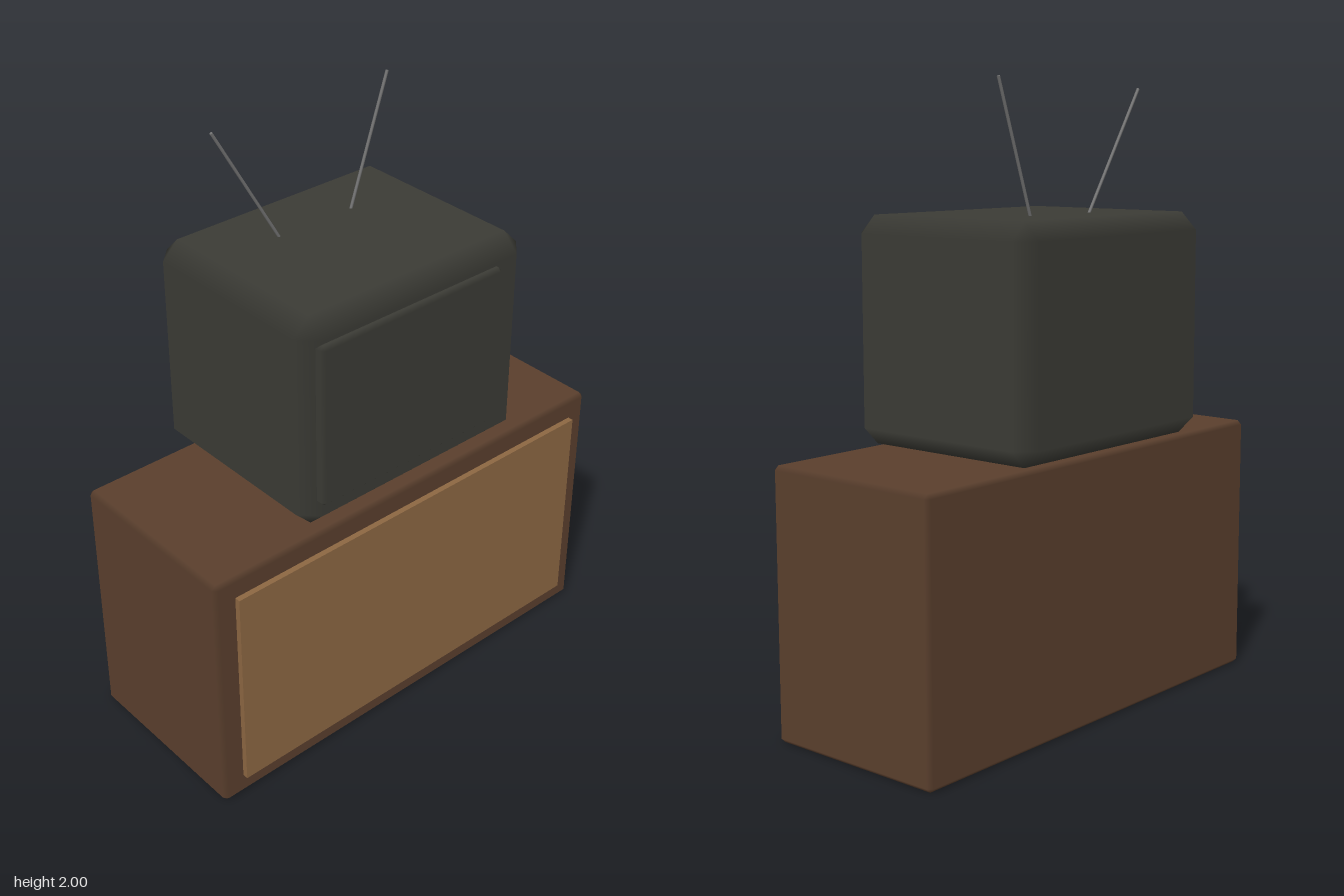
import * as THREE from 'three';
import { ConvexGeometry } from 'three/addons/geometries/ConvexGeometry.js';

const material = (name, color) => new THREE.MeshStandardMaterial({ name, color });

// Box with one flat cut along each edge; normals follow the six main faces so the cuts blend softly.
function chamferedBox(w, h, d, r) {
  const half = [w / 2, h / 2, d / 2];
  const points = [];
  for (let axis = 0; axis < 3; axis++)
    for (const sx of [-1, 1]) for (const sy of [-1, 1]) for (const sz of [-1, 1]) {
      const p = [sx, sy, sz].map((s, i) => s * (half[i] - (i === axis ? 0 : r)));
      points.push(new THREE.Vector3(...p));
    }
  const geometry = new ConvexGeometry(points);
  const pos = geometry.attributes.position;
  const normal = geometry.attributes.normal;
  for (let i = 0; i < pos.count; i++) {
    const p = [pos.getX(i), pos.getY(i), pos.getZ(i)];
    normal.setXYZ(i, ...p.map((v, k) => (Math.abs(v) > half[k] - r * 0.5 ? Math.sign(v) : 0)));
  }
  return geometry;
}

export function createModel() {
  const group = new THREE.Group();
  const wood = material('dark wood', 0x5a3f2d);
  const panelWood = material('light wood', 0x8c6742);
  const casing = material('charcoal casing', 0x3b3b35);
  const metal = material('antenna metal', 0x707070);

  // Adds a box spanning the given minimum and maximum corners
  function addBox(name, mat, min, max, chamfer = 0) {
    const size = max.map((v, i) => v - min[i]);
    const geometry = chamfer ? chamferedBox(...size, chamfer) : new THREE.BoxGeometry(...size);
    const mesh = new THREE.Mesh(geometry, mat);
    mesh.name = name;
    mesh.position.set(...max.map((v, i) => (v + min[i]) / 2));
    group.add(mesh);
  }

  // Cabinet with raised front panel
  addBox('cabinet', wood, [-0.783, 0, -0.303], [0.783, 0.86, 0.335], 0.014);
  addBox('cabinetFrontPanel', panelWood, [-0.71, 0.075, 0.31], [0.71, 0.79, 0.354]);

  // Television
  addBox('televisionBase', casing, [-0.3, 0.85, -0.195], [0.3, 0.9, 0.235]);
  addBox('televisionCasing', casing, [-0.442, 0.875, -0.367], [0.442, 1.587, 0.347], 0.056);
  addBox('screen', casing, [-0.398, 0.975, 0.31], [0.312, 1.519, 0.366], 0.012);

  // Thin antenna rods
  function addAntenna(name, from, to) {
    const a = new THREE.Vector3(...from);
    const b = new THREE.Vector3(...to);
    const dir = b.clone().sub(a);
    const rod = new THREE.Mesh(new THREE.CylinderGeometry(0.005, 0.005, dir.length(), 8), metal);
    rod.name = name;
    rod.position.copy(a).add(b).multiplyScalar(0.5);
    rod.quaternion.setFromUnitVectors(new THREE.Vector3(0, 1, 0), dir.normalize());
    group.add(rod);
  }
  addAntenna('rightAntenna', [-0.14, 1.575, -0.125], [-0.358, 1.972, -0.155]);
  addAntenna('leftAntenna', [0.136, 1.575, -0.125], [0.283, 1.998, -0.125]);

  return group;
}
